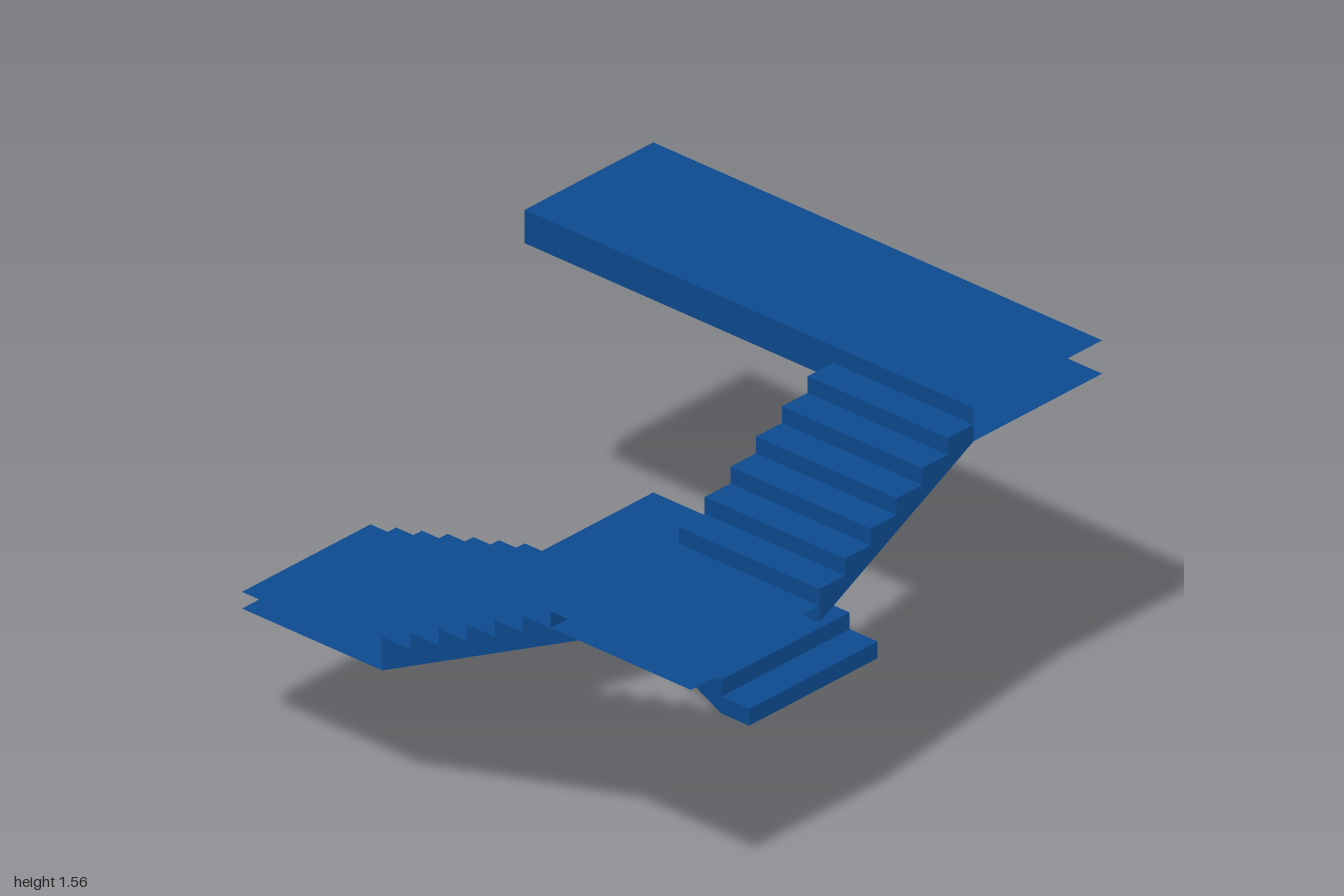
import * as THREE from 'three';

const RUN = 0.125, RISE = 0.0625, WIDTH = 0.625, INNER = 0.375;

export function createModel() {
  const blue = new THREE.MeshStandardMaterial({ color: 0x0c4a8e, side: THREE.DoubleSide });
  blue.name = 'stair blue';
  const model = new THREE.Group();
  model.name = 'squareStaircase';

  const add = (parent, name, geometry) => {
    const mesh = new THREE.Mesh(geometry, blue);
    mesh.name = name;
    parent.add(mesh);
  };
  // thin sheets: level ones span s (along the climb) and w (outward), upright ones span w and y
  const level = (s0, s1, w0, w1, y, up) =>
    new THREE.PlaneGeometry(s1 - s0, w1 - w0).rotateX(up ? -Math.PI / 2 : Math.PI / 2)
      .translate((s0 + s1) / 2, y, (w0 + w1) / 2);
  const upright = (s, w0, w1, y0, y1) =>
    new THREE.PlaneGeometry(w1 - w0, y1 - y0).rotateY(-Math.PI / 2)
      .translate(s, (y0 + y1) / 2, (w0 + w1) / 2);

  // solid flight: stepped top, sloping underside
  function flight(steps, underside) {
    const shape = new THREE.Shape();
    shape.moveTo(0, underside[0][1]);
    for (let i = 0; i < steps; i++) {
      shape.lineTo(i * RUN, (i + 1) * RISE);
      shape.lineTo((i + 1) * RUN, (i + 1) * RISE);
    }
    for (const [s, y] of underside.slice().reverse()) shape.lineTo(s, y);
    return new THREE.ExtrudeGeometry(shape, { depth: WIDTH, bevelEnabled: false });
  }

  // each run climbs along its own x, with its inner edge at z = 0
  const runs = [
    { steps: 3, pos: [INNER, 0, 0], turn: 1, underside: [[0, 0], [RUN, 0], [0.5, 0.1875]] },
    { steps: 6, pos: [INNER, 0.25, -INNER], turn: 2, underside: [[0, -RISE], [0.875, 0.375]] },
    { steps: 6, pos: [-INNER, 0.6875, -INNER], turn: -1, underside: [[0, -RISE], [0.875, 0.375]] },
    { steps: 6, pos: [-INNER, 1.125, INNER], turn: 0, underside: [[0, -RISE], [0.75, 0.3125]], top: true },
  ];
  runs.forEach(({ steps, pos, turn, underside, top }, i) => {
    const run = new THREE.Group();
    run.name = `run${i + 1}`;
    run.position.set(...pos);
    run.rotation.y = turn * Math.PI / 2;
    const end = steps * RUN, h = (steps + 1) * RISE, far = end + WIDTH;
    add(run, 'flight', flight(steps, underside));
    add(run, 'lastRiser', upright(end, 0, WIDTH, h - RISE, h));
    if (top) {
      // long upper platform, open on its outer sides
      const back = -1 - INNER;
      add(run, 'platformTop', level(end, far, back, WIDTH, h, true));
      add(run, 'platformUnderside', level(end, far, back, WIDTH, h - 2 * RISE, false));
      add(run, 'platformInnerFace', upright(end, back, 0, h - 2 * RISE, h));
    } else {
      // corner landing, open on its outer sides
      add(run, 'landingTop', level(end, far, 0, WIDTH, h, true));
      add(run, 'landingUnderside', level(end + RUN, far, 0, WIDTH, h - RISE, false));
    }
    model.add(run);
  });
  return model;
}
